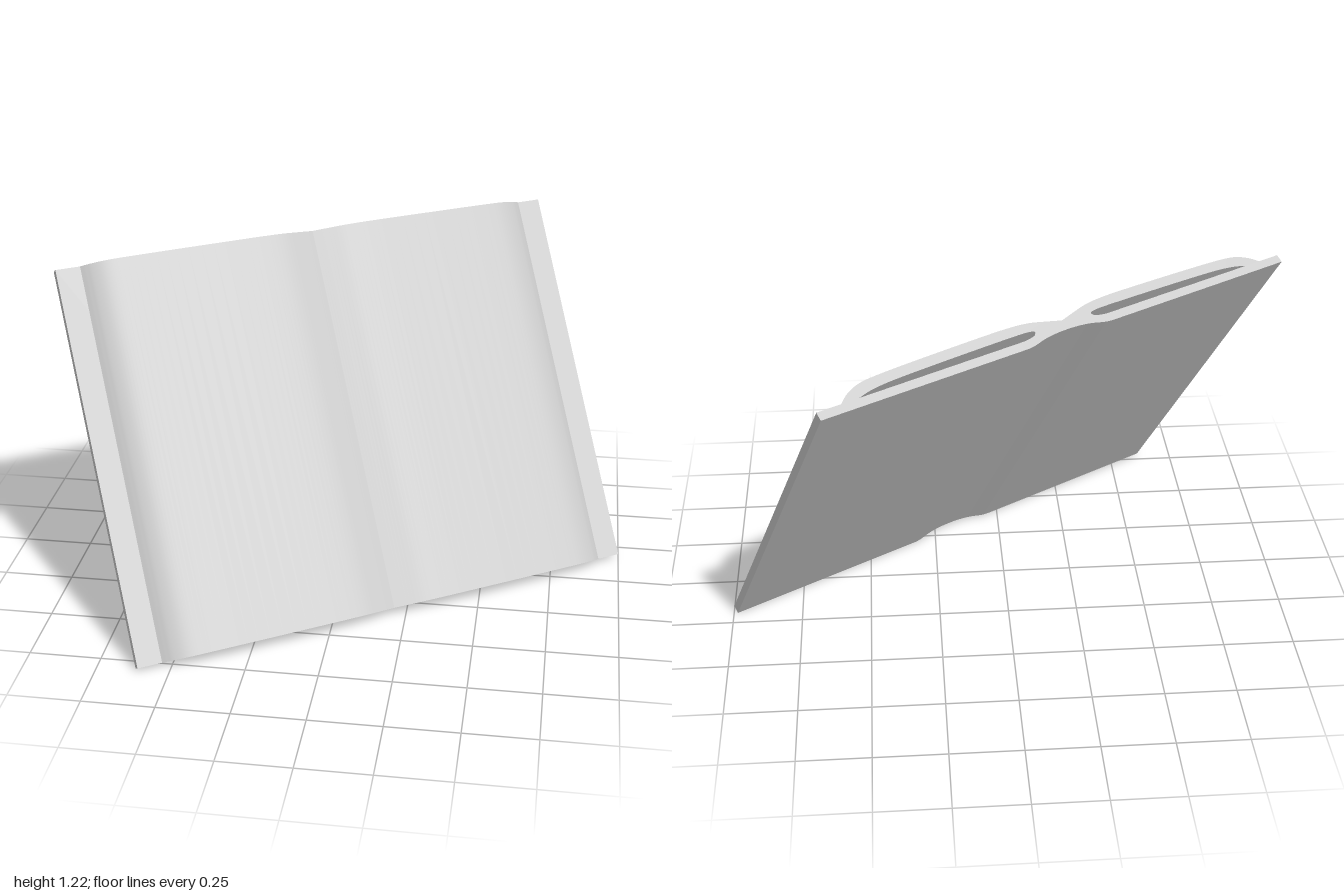
import * as THREE from 'three';
import { toCreasedNormals } from 'three/addons/utils/BufferGeometryUtils.js';

const HEIGHT = 1.382;      // along the spine
const HALF_WIDTH = 0.9415; // from spine to the cover's outer edge
const COVER = 0.03;        // cover thickness

const material = new THREE.MeshStandardMaterial({ color: 0xcccccc, side: THREE.DoubleSide });

// Smooth curve through [across, thickness] pairs
function curve(pairs, divisions) {
  const points = pairs.map(([u, t]) => new THREE.Vector2(u, t));
  return new THREE.SplineCurve(points).getPoints(divisions);
}

// Extrude a cross-section along the spine; thickness ends up facing +z
function slab(name, points) {
  const extruded = new THREE.ExtrudeGeometry(new THREE.Shape(points), {
    depth: HEIGHT, bevelEnabled: false, steps: 1,
  });
  extruded.rotateX(Math.PI / 2).translate(0, HEIGHT / 2, 0);
  const mesh = new THREE.Mesh(toCreasedNormals(extruded, 0.5), material);
  mesh.name = name;
  return mesh;
}

// Cover: flat boards joined by a spine that lifts in the middle
function makeCover() {
  const spine = curve([[-0.19, 0], [-0.15, 0.002], [-0.08, 0.017], [0, 0.022],
    [0.08, 0.017], [0.15, 0.002], [0.19, 0]], 30);
  const back = [new THREE.Vector2(-HALF_WIDTH, 0), ...spine, new THREE.Vector2(HALF_WIDTH, 0)];
  const front = back.map((p) => new THREE.Vector2(p.x, p.y + COVER)).reverse();
  return slab('cover', [...back, ...front]);
}

// Page block: a thick arched leaf with a narrow hollow above the cover
function makePages(name, side) {
  const outer = curve([[0, 0.058], [0.05, 0.071], [0.12, 0.087], [0.2, 0.093], [0.32, 0.093],
    [0.55, 0.089], [0.7, 0.084], [0.77, 0.076], [0.82, 0.056], [0.855, COVER]], 48);
  const hollow = curve([[0.79, COVER], [0.74, 0.042], [0.65, 0.05], [0.45, 0.055],
    [0.2, 0.058], [0.135, 0.056], [0.115, 0.05], [0.125, 0.036]], 40);
  const root = curve([[0.08, 0.046], [0, 0.05]], 4);
  const points = [...outer, ...hollow, ...root].map((p) => new THREE.Vector2(p.x * side, p.y));
  return slab(name, points);
}

export function createModel() {
  const model = new THREE.Group();
  model.name = 'openBook';

  // The book leans back and is turned toward its left
  const book = new THREE.Group();
  book.name = 'book';
  book.rotation.set(-0.556, 0.551, 0, 'YXZ');
  book.add(makeCover(), makePages('leftPages', 1), makePages('rightPages', -1));
  model.add(book);

  // Centre it and rest it on the ground
  model.updateMatrixWorld(true);
  const box = new THREE.Box3().setFromObject(book, true);
  const centre = box.getCenter(new THREE.Vector3());
  book.position.set(-centre.x, -box.min.y, -centre.z);
  return model;
}
